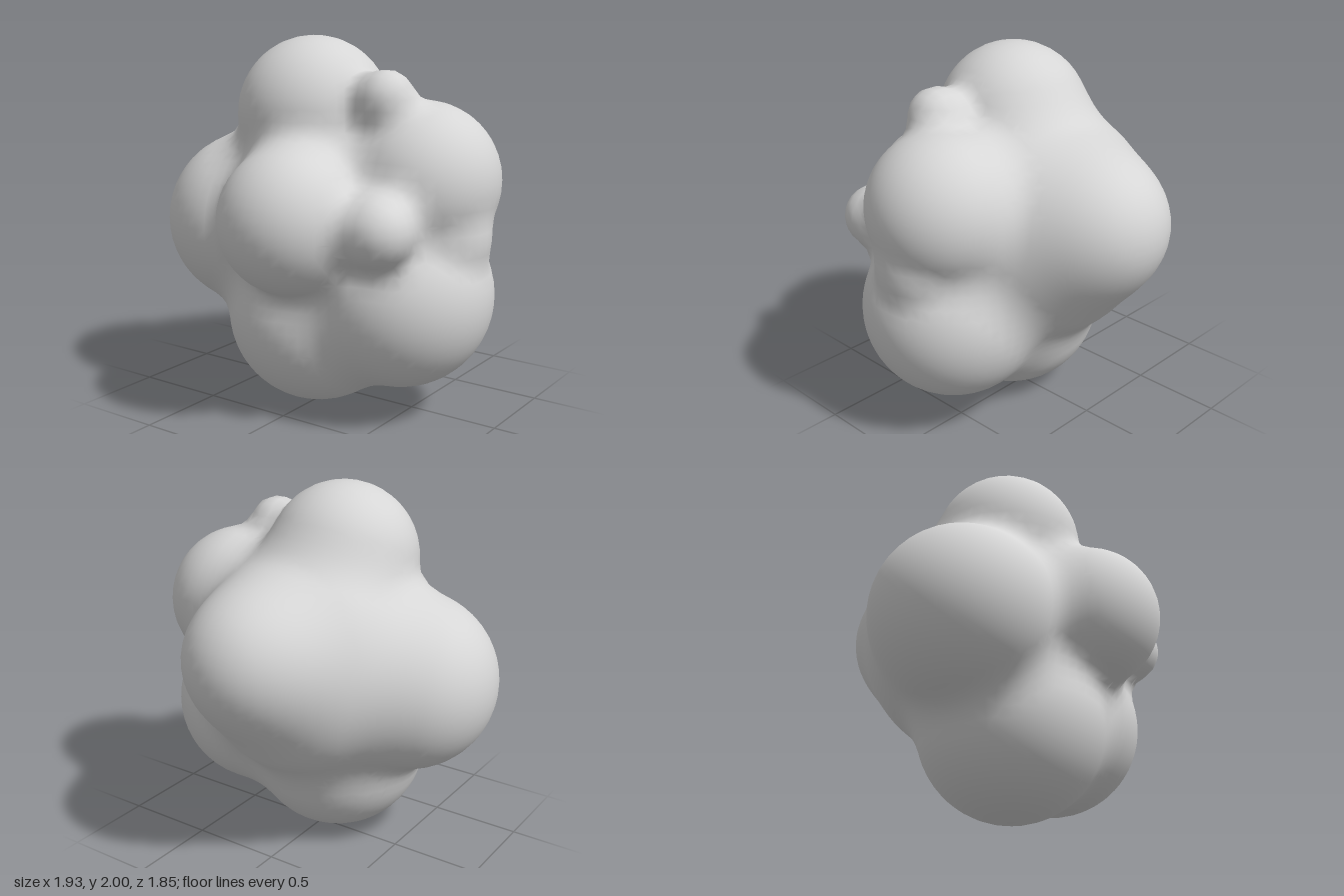
import * as THREE from 'three';

// Balls that melt together: x, y, z, radius, blend width
const BALLS = [
  [-0.01, 1.06, -0.09, 0.65, 0.12], // core
  [-0.06, 1.59, 0.12, 0.41, 0.14],  // top
  [-0.48, 0.97, 0.12, 0.488, 0.15], // right side
  [0.10, 1.09, 0.54, 0.383, 0.16],  // front
  [0.03, 1.18, -0.54, 0.388, 0.16], // back
  [0.55, 1.27, 0.02, 0.412, 0.13],  // left side, upper
  [0.46, 0.66, 0.07, 0.495, 0.13],  // left side, lower
  [0.73, 0.99, 0.04, 0.21, 0.08],   // left side, waist
  [-0.03, 0.50, 0.12, 0.50, 0.13],  // bottom
  [0.60, 1.09, 0.52, 0.173, 0.15],  // small front bump
  [0.43, 1.69, 0.19, 0.152, 0.11],  // small top bump
];

// Signed distance to the smooth union of the balls
function field(x, y, z) {
  let d = 10;
  for (const [bx, by, bz, r, k] of BALLS) {
    const s = Math.hypot(x - bx, y - by, z - bz) - r;
    const h = Math.max(k - Math.abs(d - s), 0) / k;
    d = Math.min(d, s) - h * h * k * 0.25;
  }
  return d;
}

function gradient(p) {
  const e = 0.002;
  return new THREE.Vector3(
    field(p.x + e, p.y, p.z) - field(p.x - e, p.y, p.z),
    field(p.x, p.y + e, p.z) - field(p.x, p.y - e, p.z),
    field(p.x, p.y, p.z + e) - field(p.x, p.y, p.z - e),
  ).normalize();
}

// Skin the field: one vertex per crossed grid cell, one quad per crossed grid edge
function blobGeometry(cell = 0.06) {
  const n = Math.ceil(2.3 / cell);
  const origin = [-1.13, -0.13, -1.13];
  const step = [1, n, n * n];
  const values = new Float32Array(n * n * n);
  const at = (i, a) => origin[a] + i * cell;
  for (let k = 0; k < n; k++)
    for (let j = 0; j < n; j++)
      for (let i = 0; i < n; i++)
        values[i + j * n + k * n * n] = field(at(i, 0), at(j, 1), at(k, 2));

  const positions = [], normals = [], indices = [];
  const vertexOf = new Map();
  for (let k = 0; k < n - 1; k++)
    for (let j = 0; j < n - 1; j++)
      for (let i = 0; i < n - 1; i++) {
        const id = i + j * n + k * n * n;
        let inside = 0;
        for (let c = 0; c < 8; c++)
          if (values[id + (c & 1) + ((c >> 1) & 1) * n + (c >> 2) * n * n] < 0) inside++;
        if (inside === 0 || inside === 8) continue;
        // Start at the cell centre and slide onto the surface
        const p = new THREE.Vector3(at(i + 0.5, 0), at(j + 0.5, 1), at(k + 0.5, 2));
        for (let t = 0; t < 4; t++) p.addScaledVector(gradient(p), -field(p.x, p.y, p.z));
        vertexOf.set(id, positions.length / 3);
        positions.push(p.x, p.y, p.z);
        normals.push(...gradient(p).toArray());
      }

  for (let k = 1; k < n - 1; k++)
    for (let j = 1; j < n - 1; j++)
      for (let i = 1; i < n - 1; i++) {
        const id = i + j * n + k * n * n;
        for (let a = 0; a < 3; a++) {
          const inA = values[id] < 0, inB = values[id + step[a]] < 0;
          if (inA === inB) continue;
          const b = step[(a + 1) % 3], c = step[(a + 2) % 3];
          const q = [id, id - b, id - b - c, id - c].map((v) => vertexOf.get(v));
          if (inB) q.reverse();
          indices.push(q[0], q[1], q[2], q[0], q[2], q[3]);
        }
      }

  const geometry = new THREE.BufferGeometry();
  geometry.setAttribute('position', new THREE.Float32BufferAttribute(positions, 3));
  geometry.setAttribute('normal', new THREE.Float32BufferAttribute(normals, 3));
  geometry.setIndex(indices);
  return geometry;
}

export function createModel() {
  const group = new THREE.Group();
  group.name = 'blob';
  const material = new THREE.MeshStandardMaterial({ color: 0xd6d6d6 });
  material.name = 'light grey';
  const body = new THREE.Mesh(blobGeometry(), material);
  body.name = 'lumpyBody';
  group.add(body);
  return group;
}
